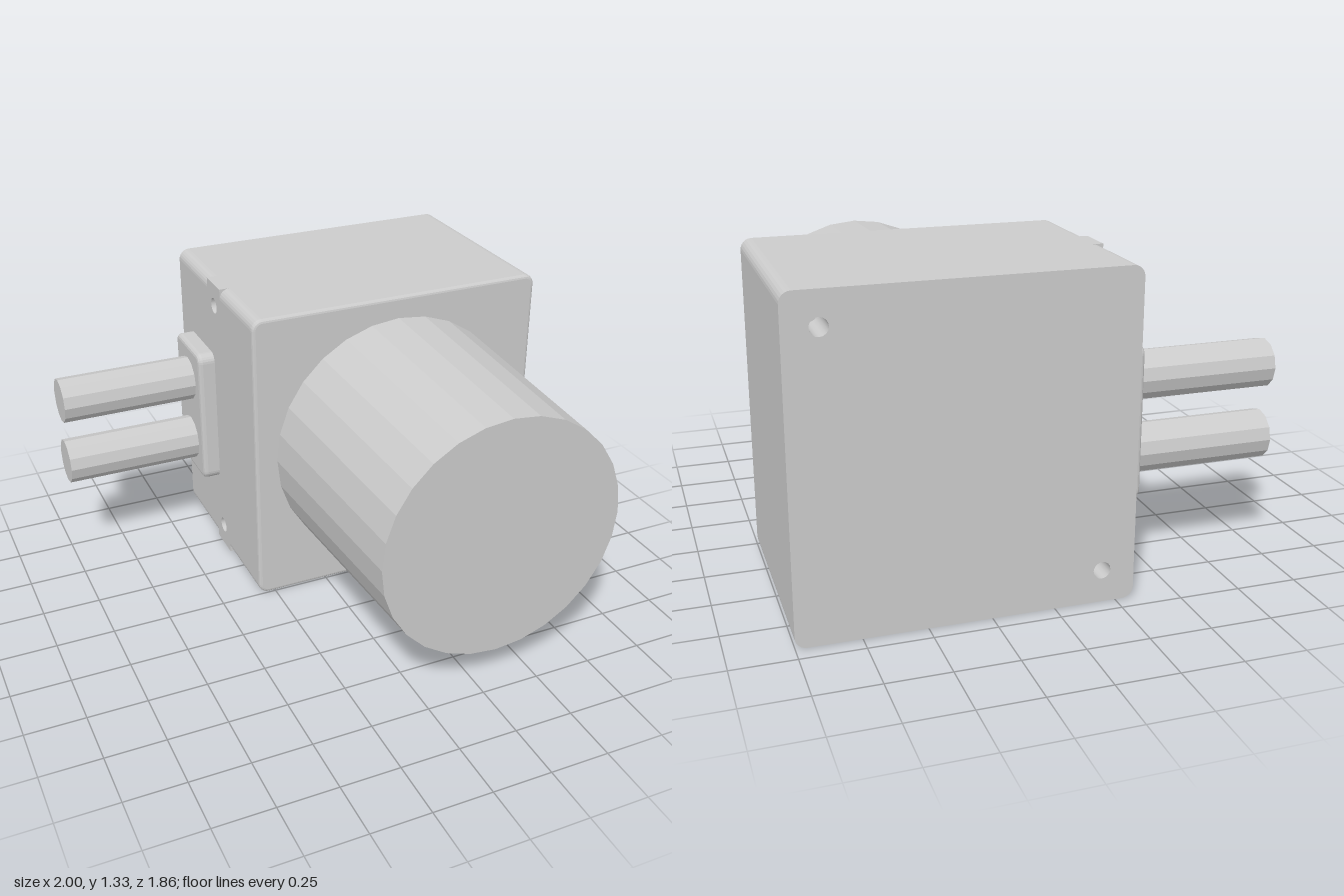
import * as THREE from 'three';

const CX = 0.3375, CY = 0.6625, HALF = 0.6625, BACK = -0.93, R = 0.045, BEVEL = 0.015;

const material = new THREE.MeshStandardMaterial({ color: 0xcccccc, flatShading: true });
const inner = new THREE.MeshStandardMaterial({ color: 0xcccccc, side: THREE.BackSide });

function add(parent, name, geometry, x = 0, y = 0, z = 0, mat = material) {
  const mesh = new THREE.Mesh(geometry, mat);
  mesh.name = name;
  mesh.position.set(x, y, z);
  parent.add(mesh);
  return mesh;
}

// Counter-clockwise rounded rectangle, starting and ending on its left edge
function roundedRect(hw, hh, r, steps = 6) {
  const points = [];
  [[-1, -1], [1, -1], [1, 1], [-1, 1]].forEach(([sx, sy], corner) => {
    for (let i = 0; i <= steps; i++) {
      const a = Math.PI + (corner + i / steps) * Math.PI / 2;
      points.push(new THREE.Vector2(sx * (hw - r) + r * Math.cos(a), sy * (hh - r) + r * Math.sin(a)));
    }
  });
  return points;
}

// Flat face pierced by round holes
function pierced(outline, centres, radius) {
  const shape = new THREE.Shape(outline);
  for (const [x, y] of centres) {
    const hole = new THREE.Path();
    hole.absarc(x, y, radius, 0, Math.PI * 2, true);
    shape.holes.push(hole);
  }
  return new THREE.ShapeGeometry(shape, 8);
}

// Blind bore running along +z from the local origin
function bore(parent, name, radius, depth) {
  const group = new THREE.Group();
  group.name = name;
  const wall = new THREE.CylinderGeometry(radius, radius, depth, 16, 1, true).rotateX(Math.PI / 2);
  add(group, name + 'Wall', wall, 0, 0, depth / 2, inner);
  add(group, name + 'Floor', new THREE.CircleGeometry(radius, 16).rotateY(Math.PI), 0, 0, depth);
  parent.add(group);
  return group;
}

// Side walls and rounded front edge; the flat left side is left open
function shellGeometry() {
  const sections = [[BACK, 0]];
  for (let i = 0; i <= 3; i++) {
    const a = i / 3 * Math.PI / 2;
    sections.push([-BEVEL + BEVEL * Math.sin(a), BEVEL * (1 - Math.cos(a))]);
  }
  const rings = sections.map(([z, inset]) =>
    roundedRect(HALF - inset, HALF - inset, R - inset).map(p => [p.x, p.y, z]));
  const positions = [];
  for (let s = 0; s < rings.length - 1; s++) {
    const a = rings[s], b = rings[s + 1], n = a.length;
    for (let i = 0; i < (s === 0 ? n - 1 : n); i++) {
      const j = (i + 1) % n;
      positions.push(...a[i], ...a[j], ...b[j], ...a[i], ...b[j], ...b[i]);
    }
  }
  const geometry = new THREE.BufferGeometry();
  geometry.setAttribute('position', new THREE.Float32BufferAttribute(positions, 3));
  geometry.computeVertexNormals();
  return geometry;
}

export function createModel() {
  const model = new THREE.Group();
  model.name = 'housingWithCap';

  // Housing
  const housing = new THREE.Group();
  housing.name = 'housing';
  housing.position.set(CX, CY, 0);
  model.add(housing);
  add(housing, 'housingShell', shellGeometry());
  add(housing, 'frontFace', new THREE.ShapeGeometry(
    new THREE.Shape(roundedRect(HALF - BEVEL, HALF - BEVEL, R - BEVEL))));

  // Back face with two screw holes in opposite corners
  const backHoles = [[-0.53, 0.53], [0.53, -0.53]];
  add(housing, 'backFace', pierced(roundedRect(HALF, HALF, R), backHoles, 0.035).rotateY(Math.PI), 0, 0, BACK);
  for (const [x, y] of backHoles) bore(housing, 'backHole', 0.035, 0.2).position.set(-x, y, BACK);

  // Right-hand side face, with two screw holes and corner tabs
  const zHole = -0.465, h = HALF - R;
  const sideOutline = [[BACK, -h], [-BEVEL, -h], [-BEVEL, h], [BACK, h]].map(p => new THREE.Vector2(...p));
  const sideHoles = [[zHole, -0.56], [zHole, 0.56]];
  add(housing, 'sideFace', pierced(sideOutline, sideHoles, 0.035).rotateY(-Math.PI / 2), -HALF);
  for (const [z, y] of sideHoles) {
    const hole = bore(housing, 'sideHole', 0.035, 0.2);
    hole.rotation.y = Math.PI / 2;
    hole.position.set(-HALF, y, z);
    add(housing, 'cornerTab', new THREE.BoxGeometry(R, R, 0.16),
      -HALF + R / 2, Math.sign(y) * (HALF - R / 2), zHole);
  }

  // Tapered round cap on the front
  const cap = new THREE.CylinderGeometry(0.525, 0.565, 0.93, 28).rotateX(Math.PI / 2);
  add(model, 'taperedCap', cap, CX, 0.665, 0.465);

  // Pipe flange
  const flange = new THREE.ExtrudeGeometry(new THREE.Shape(roundedRect(0.16, 0.315, 0.04)), {
    depth: 0.06, bevelEnabled: true, bevelThickness: 0.02, bevelSize: 0.02, bevelOffset: -0.02, bevelSegments: 3,
  }).rotateY(-Math.PI / 2);
  add(model, 'pipeFlange', flange, -0.32, 0.665, -0.65);

  // Two pipes
  for (const y of [0.51, 0.815]) {
    add(model, 'pipe', new THREE.CylinderGeometry(0.1, 0.1, 0.61, 12).rotateZ(Math.PI / 2), -0.695, y, -0.65);
  }
  return model;
}
